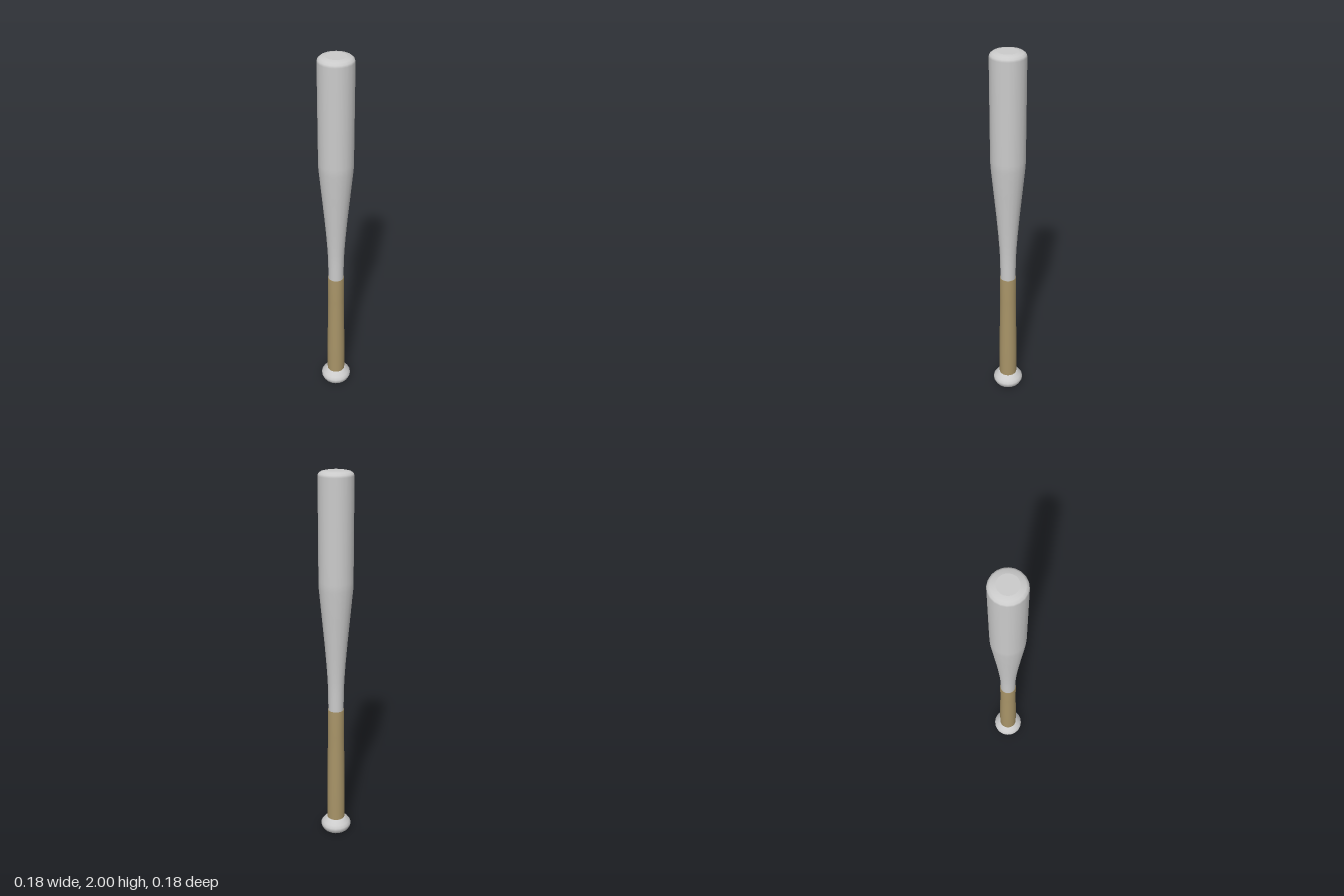
import * as THREE from 'three';

const SIDES = 20;

// Smooth turned part from [radius, height] pairs, listed bottom to top
function turned(name, profile, color) {
  const points = profile.map(([r, y]) => new THREE.Vector2(r, y));
  const mesh = new THREE.Mesh(
    new THREE.LatheGeometry(points, SIDES),
    new THREE.MeshStandardMaterial({ color })
  );
  mesh.name = name;
  return mesh;
}

// Flat round face closing an end; direction is 1 for up, -1 for down
function endCap(name, radius, y, direction) {
  const geometry = new THREE.CircleGeometry(radius, SIDES);
  geometry.rotateX(-direction * Math.PI / 2);
  const mesh = new THREE.Mesh(geometry, new THREE.MeshStandardMaterial({ color: 0xcccccc }));
  mesh.position.y = y;
  mesh.name = name;
  return mesh;
}

export function createModel() {
  const bat = new THREE.Group();
  bat.name = 'bat';

  // Barrel, tapering down into the handle neck, with a rounded top rim
  bat.add(turned('barrel', [
    [0.041, 0.74], [0.042, 0.86], [0.045, 0.93], [0.051, 1.02], [0.06, 1.13],
    [0.074, 1.28], [0.087, 1.42], [0.088, 1.46], [0.088, 1.975],
    [0.085, 1.986], [0.074, 1.995], [0.05, 2],
  ], 0xcccccc));
  bat.add(endCap('barrelEnd', 0.05, 2, 1));

  // Wrapped grip, slightly wider toward the knob, with a thin upper lip
  bat.add(turned('grip', [
    [0.049, 0.07], [0.049, 0.25], [0.046, 0.45], [0.044, 0.6], [0.044, 0.75], [0.04, 0.75],
  ], 0xa89468));

  // Knob with a flat underside
  bat.add(turned('knob', [
    [0.062, 0], [0.074, 0.01], [0.083, 0.028], [0.083, 0.042],
    [0.074, 0.056], [0.06, 0.07], [0.05, 0.08], [0.04, 0.082],
  ], 0xcccccc));
  bat.add(endCap('knobBase', 0.062, 0, -1));

  return bat;
}
